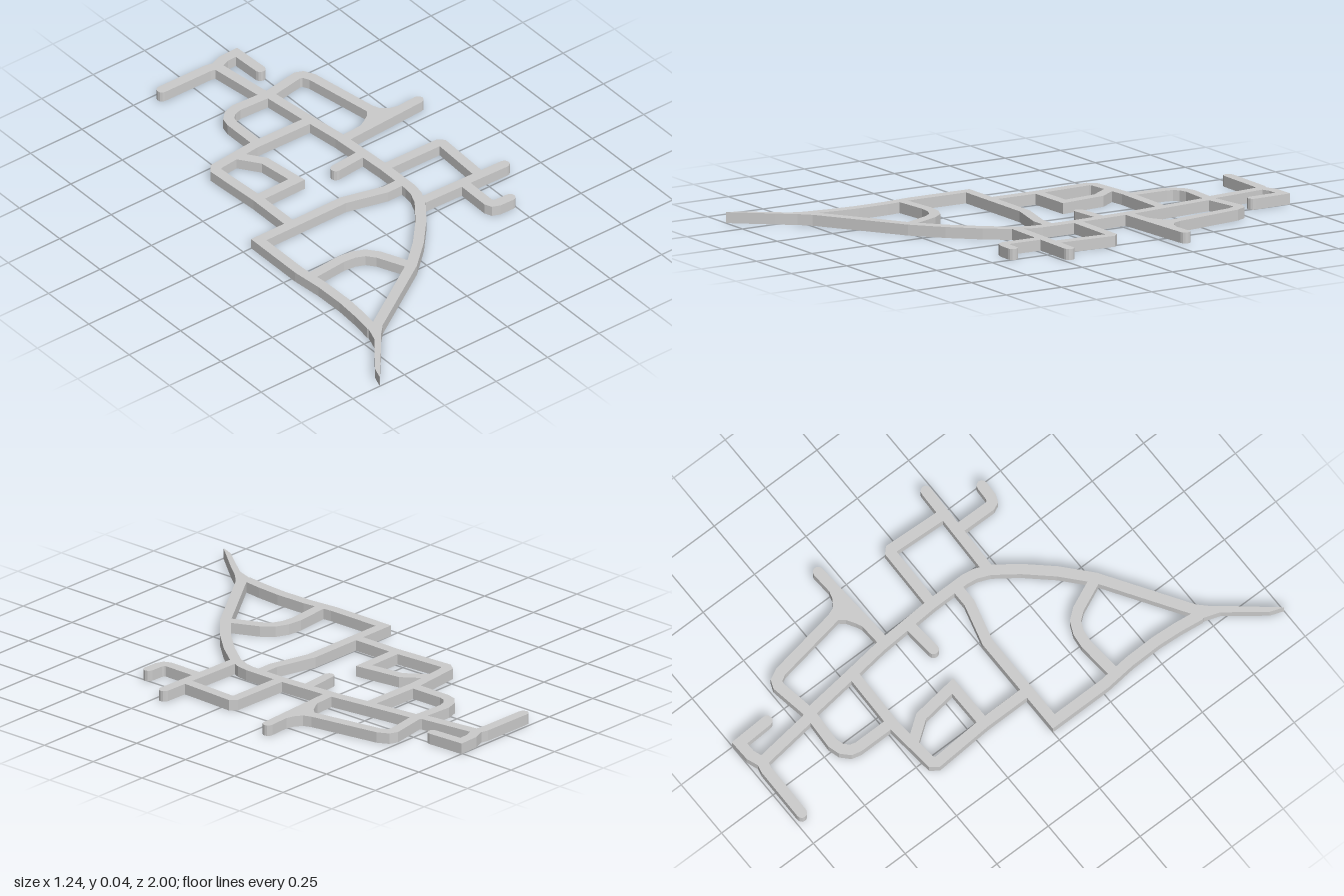
import * as THREE from 'three';

const HEIGHT = 0.043, HALF = 0.021;
const material = new THREE.MeshStandardMaterial({ color: 0xcccccc, flatShading: true });

// Extrude a plan outline given as [x, z] points, standing on y = 0
function slab(name, outline) {
  const shape = new THREE.Shape(outline.map(([x, z]) => new THREE.Vector2(x, -z)));
  const geometry = new THREE.ExtrudeGeometry(shape, { depth: HEIGHT, bevelEnabled: false });
  geometry.rotateX(-Math.PI / 2);
  const mesh = new THREE.Mesh(geometry, material);
  mesh.name = name;
  return mesh;
}

// Constant-width strip along a centre line: mitred corners, optional round ends
function strip(name, path, roundStart = false, roundEnd = false) {
  const p = path.map(([x, z]) => new THREE.Vector2(x, z));
  const last = p.length - 1;
  const dirs = p.slice(1).map((q, i) => q.clone().sub(p[i]).normalize());
  const left = [], right = [];
  p.forEach((q, i) => {
    const a = dirs[Math.max(i - 1, 0)], b = dirs[Math.min(i, last - 1)];
    const t = a.clone().add(b).normalize();
    const w = HALF / Math.max(t.dot(b), 0.5);
    left.push([q.x - t.y * w, q.y + t.x * w]);
    right.push([q.x + t.y * w, q.y - t.x * w]);
  });
  const cap = (q, d, from) => [1, 2, 3, 4, 5].map((k) => {
    const a = Math.atan2(d.y, d.x) + from - (k * Math.PI) / 6;
    return [q.x + Math.cos(a) * HALF, q.y + Math.sin(a) * HALF];
  });
  return slab(name, [
    ...left,
    ...(roundEnd ? cap(p[last], dirs[last - 1], Math.PI / 2) : []),
    ...right.reverse(),
    ...(roundStart ? cap(p[0], dirs[0], -Math.PI / 2) : []),
  ]);
}

export function createModel() {
  const model = new THREE.Group();
  model.name = 'streetNetwork';

  model.add(
    // Long central spine, curving into the lower diagonal
    strip('spine', [[0.12, -0.96], [0.15, -0.715], [0.165, -0.69], [0.19, -0.47], [0.21, -0.31],
      [0.225, -0.05], [0.225, 0.11], [0.218, 0.155], [0.195, 0.21], [0.125, 0.305], [0.03, 0.41],
      [-0.08, 0.508], [-0.43, 0.735]]),

    // Lower left block and its tapering tail
    strip('lowerLeftOutline', [[-0.445, 0.73], [-0.432, 0.63], [-0.425, 0.53], [-0.427, 0.4],
      [-0.44, 0.27], [-0.44, 0.02], [-0.03, 0.02], [0.14, 0.065], [0.22, 0.065]]),
    strip('lowerInnerCurve', [[-0.42, 0.325], [-0.27, 0.312], [-0.215, 0.318], [-0.17, 0.338],
      [-0.138, 0.378], [-0.08, 0.508]]),
    slab('tail', [[-0.62, 1], [-0.6, 0.945], [-0.485, 0.795], [-0.463, 0.73], [-0.42, 0.705],
      [-0.405, 0.745], [-0.445, 0.785], [-0.5, 0.855]]),

    // Middle left block with inner loop
    strip('middleLeftOutline', [[-0.28, 0.02], [-0.28, -0.19], [-0.295, -0.43], [-0.28, -0.45],
      [-0.08, -0.47], [0.185, -0.465]]),
    strip('middleInnerLoop', [[-0.28, -0.193], [-0.088, -0.195], [-0.11, -0.365], [-0.175, -0.455]]),

    // Upper arch crossing the spine and the right descending leg
    strip('upperArch', [[-0.06, -0.47], [-0.06, -0.63], [-0.052, -0.662], [-0.025, -0.688],
      [0.015, -0.7], [0.165, -0.692], [0.325, -0.719], [0.347, -0.71], [0.365, -0.675], [0.42, -0.34]]),

    // Right upper bar and its flared junction
    strip('upperRightBar', [[0.215, -0.29], [0.595, -0.312]], false, true),
    slab('flaredJunction', [[0.28, -0.3], [0.34, -0.328], [0.375, -0.35], [0.405, -0.385],
      [0.433, -0.39], [0.445, -0.358], [0.475, -0.337], [0.53, -0.322], [0.53, -0.3], [0.3, -0.285]]),

    // Short stub left of the spine
    strip('stub', [[0.075, -0.16], [0.215, -0.172]], true),

    // Right block, lower bar and hook
    strip('rightBlock', [[0.225, -0.05], [0.485, -0.046], [0.496, -0.035], [0.484, 0.215]]),
    strip('lowerRightBar', [[0.21, 0.206], [0.6, 0.216]], false, true),
    strip('hook', [[0.402, 0.215], [0.4, 0.37], [0.408, 0.388], [0.428, 0.396], [0.485, 0.398]], false, true),

    // Crossing arm at the far end
    strip('farArm', [[-0.137, -0.968], [0.085, -0.966], [0.12, -0.958], [0.17, -0.977],
      [0.234, -0.979], [0.24, -0.84]], true, true),
  );
  return model;
}
